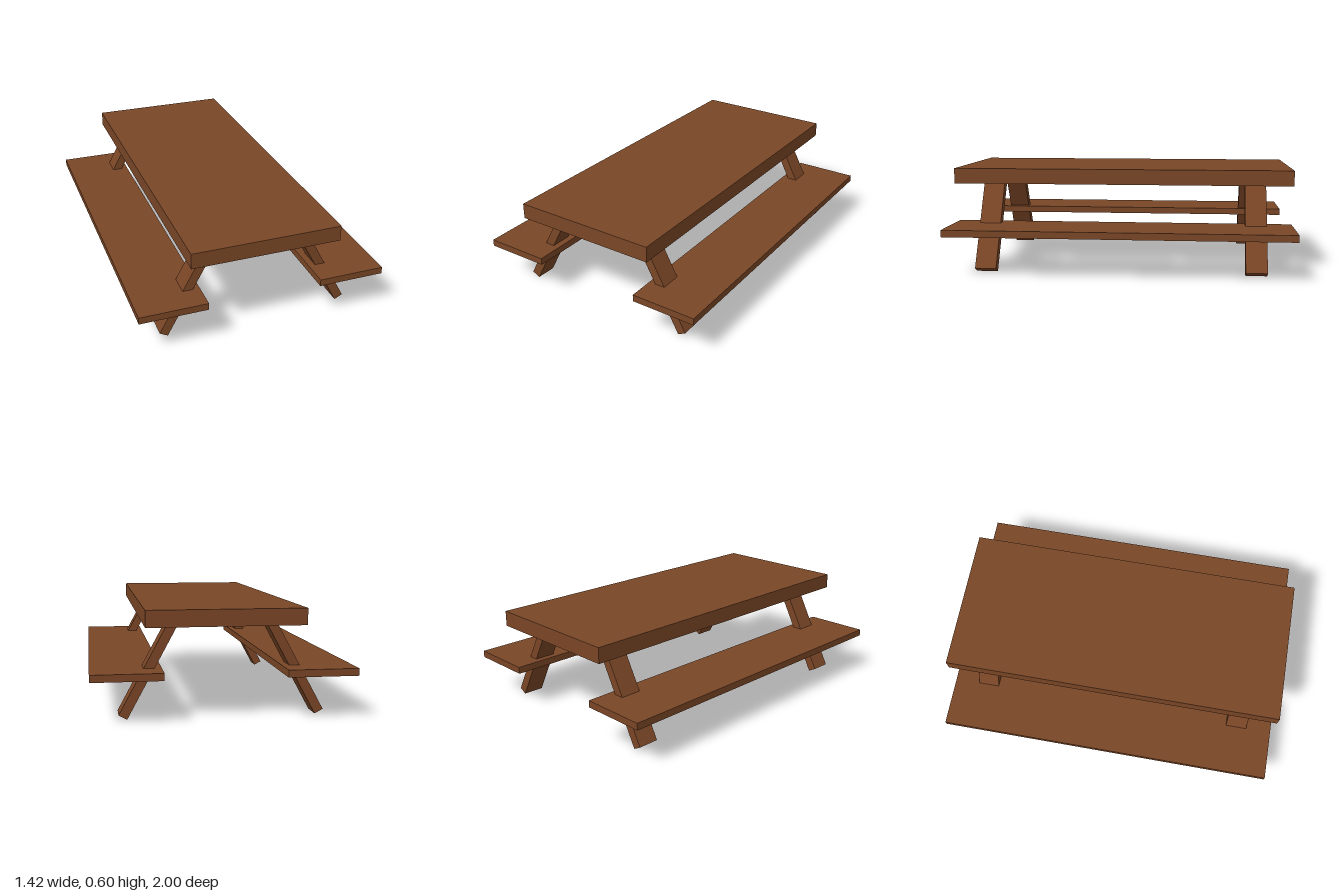
import * as THREE from 'three';

export function createModel() {
  const model = new THREE.Group();
  model.name = 'picnicTable';
  const wood = new THREE.MeshStandardMaterial({ color: 0x7a4626 });
  wood.name = 'brown wood';

  const addBoard = (name, w, h, d, x, y, z) => {
    const mesh = new THREE.Mesh(new THREE.BoxGeometry(w, h, d), wood);
    mesh.name = name;
    mesh.position.set(x, y, z);
    model.add(mesh);
    return mesh;
  };

  // Thick table top
  addBoard('tableTop', 0.85, 0.09, 2, 0, 0.555, 0);

  // Splayed legs run from the ground through the bench into the table top
  const tilt = Math.atan2(0.26, 0.48);
  const thickness = 0.052;
  const length = 0.6;
  const footX = 0.5375;
  const footY = (thickness / 2) * Math.sin(tilt);

  for (const side of [1, -1]) {
    const sideName = side > 0 ? 'left' : 'right';
    addBoard(sideName + 'Bench', 0.385, 0.04, 2, side * 0.5195, 0.254, 0);

    for (const end of [1, -1]) {
      const leg = addBoard(
        sideName + (end > 0 ? 'FrontLeg' : 'BackLeg'),
        thickness, length, 0.125,
        side * (footX - (Math.sin(tilt) * length) / 2),
        footY + (Math.cos(tilt) * length) / 2,
        end * 0.7875
      );
      leg.rotation.z = side * tilt;
    }
  }
  return model;
}
